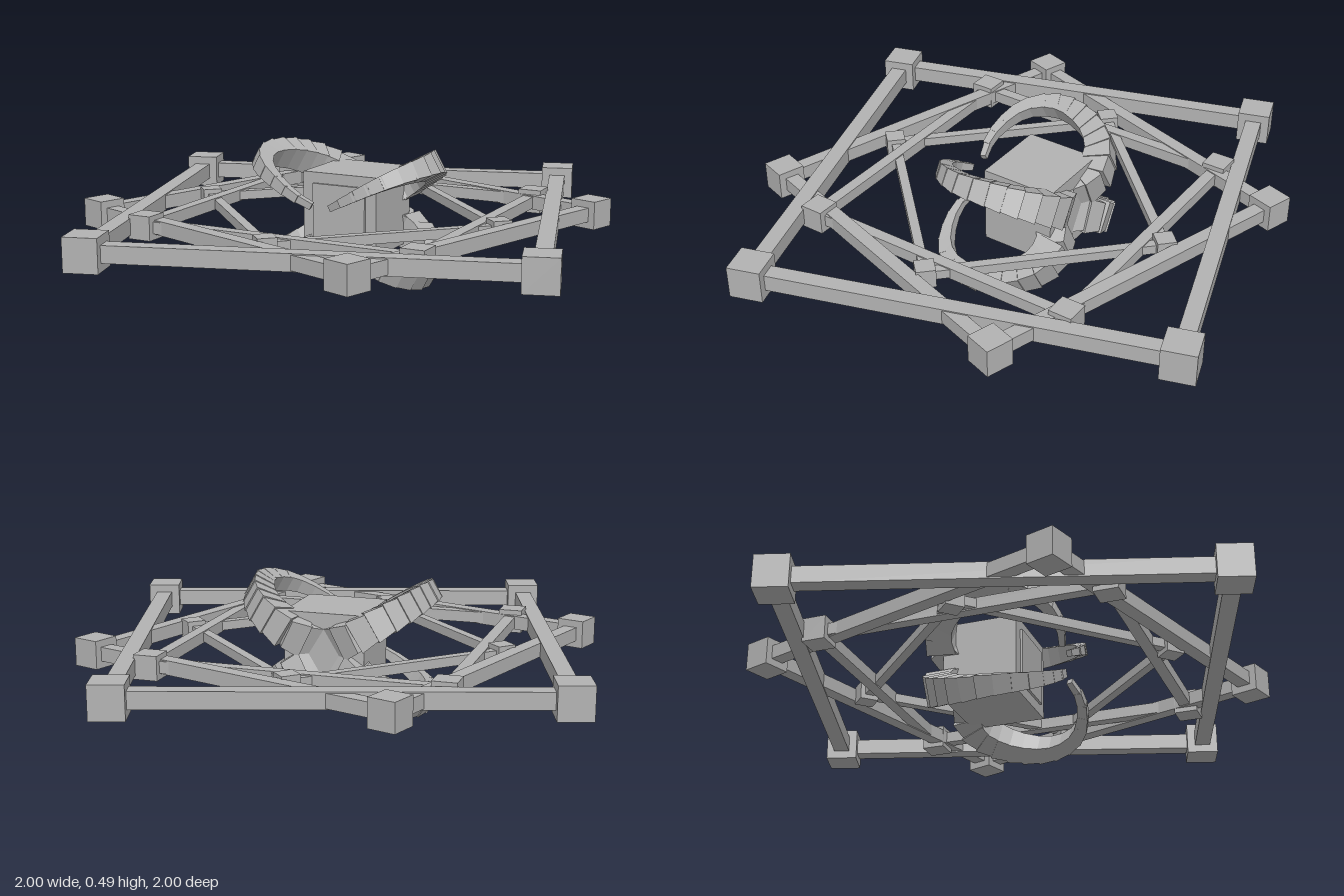
import * as THREE from 'three';

const MID = 0.28; // height of the plane that all frames share

export function createModel() {
  const model = new THREE.Group();
  const grey = new THREE.MeshStandardMaterial({ color: 0xb2b2b2 });
  grey.name = 'stone grey';

  const addBox = (parent, name, size, pos) => {
    const mesh = new THREE.Mesh(new THREE.BoxGeometry(...size), grey);
    mesh.name = name;
    mesh.position.set(...pos);
    parent.add(mesh);
    return mesh;
  };

  // Four nested square frames: half side, cube size, bar thickness, turn in degrees
  const frames = [
    ['outerFrame', 0.735, 0.12, 0.06, 17.6],
    ['secondFrame', 0.628, 0.102, 0.051, -17.6],
    ['thirdFrame', 0.523, 0.087, 0.043, 0],
    ['innerFrame', 0.418, 0.069, 0.034, 45],
  ];
  for (const [name, half, cube, bar, turn] of frames) {
    const frame = new THREE.Group();
    frame.name = name;
    frame.position.y = MID;
    frame.rotation.y = THREE.MathUtils.degToRad(turn);
    for (const s of [-1, 1]) {
      addBox(frame, 'crossBar', [2 * half - cube, bar, bar], [0, 0, s * half]);
      addBox(frame, 'sideBar', [bar, bar, 2 * half - cube], [s * half, 0, 0]);
      for (const t of [-1, 1]) addBox(frame, 'cornerCube', [cube, cube, cube], [s * half, 0, t * half]);
    }
    model.add(frame);
  }

  // Central block with a thin front plate
  addBox(model, 'centralBlock', [0.295, 0.29, 0.28], [0, MID + 0.005, -0.075]);
  addBox(model, 'frontPlate', [0.21, 0.21, 0.009], [0, MID + 0.005, 0.0695]);

  // Horn centre line (height measured from the middle plane) and its thickness, root to tip
  const path = [
    [0.05, 0.05, -0.16], [0.12, 0.08, -0.215], [0.2, 0.128, -0.203], [0.265, 0.165, -0.135],
    [0.3, 0.186, -0.05], [0.312, 0.192, 0.03], [0.295, 0.187, 0.1], [0.25, 0.168, 0.165],
    [0.18, 0.133, 0.205], [0.11, 0.095, 0.218], [0.045, 0.06, 0.205],
  ];
  const segments = 16;

  // One segment: a box whose far end is narrower, so that the segments step
  const hornSegment = (thickness, length) => {
    const geo = new THREE.BoxGeometry(thickness * 0.9, thickness, length);
    const p = geo.attributes.position;
    for (let i = 0; i < p.count; i++) {
      const k = p.getZ(i) > 0 ? 0.84 : 1;
      p.setXY(i, p.getX(i) * k, p.getY(i) * k);
    }
    geo.computeVertexNormals();
    return geo;
  };

  for (const sx of [-1, 1]) {
    for (const sy of [-1, 1]) {
      const horn = new THREE.Group();
      horn.name = (sy > 0 ? 'upper' : 'lower') + (sx > 0 ? 'Left' : 'Right') + 'Horn';
      horn.position.y = MID;
      const curve = new THREE.CatmullRomCurve3(path.map(([x, y, z]) => new THREE.Vector3(sx * x, sy * y, z)));
      const spacing = curve.getLength() / segments;
      for (let i = 0; i < segments; i++) {
        const u = (i + 0.5) / segments;
        const thickness = THREE.MathUtils.lerp(0.135, 0.025, Math.pow(u, 1.15));
        const mesh = new THREE.Mesh(hornSegment(thickness, spacing * 1.3), grey);
        mesh.name = 'hornSegment';
        // Align with the curve, upright to the tilted plane of the horn
        const along = curve.getTangentAt(u);
        const across = new THREE.Vector3(-0.5 * sx, 0.87 * sy, 0).cross(along).normalize();
        const up = along.clone().cross(across);
        mesh.quaternion.setFromRotationMatrix(new THREE.Matrix4().makeBasis(across, up, along));
        mesh.position.copy(curve.getPointAt(u));
        horn.add(mesh);
      }
      model.add(horn);
    }
  }
  return model;
}
